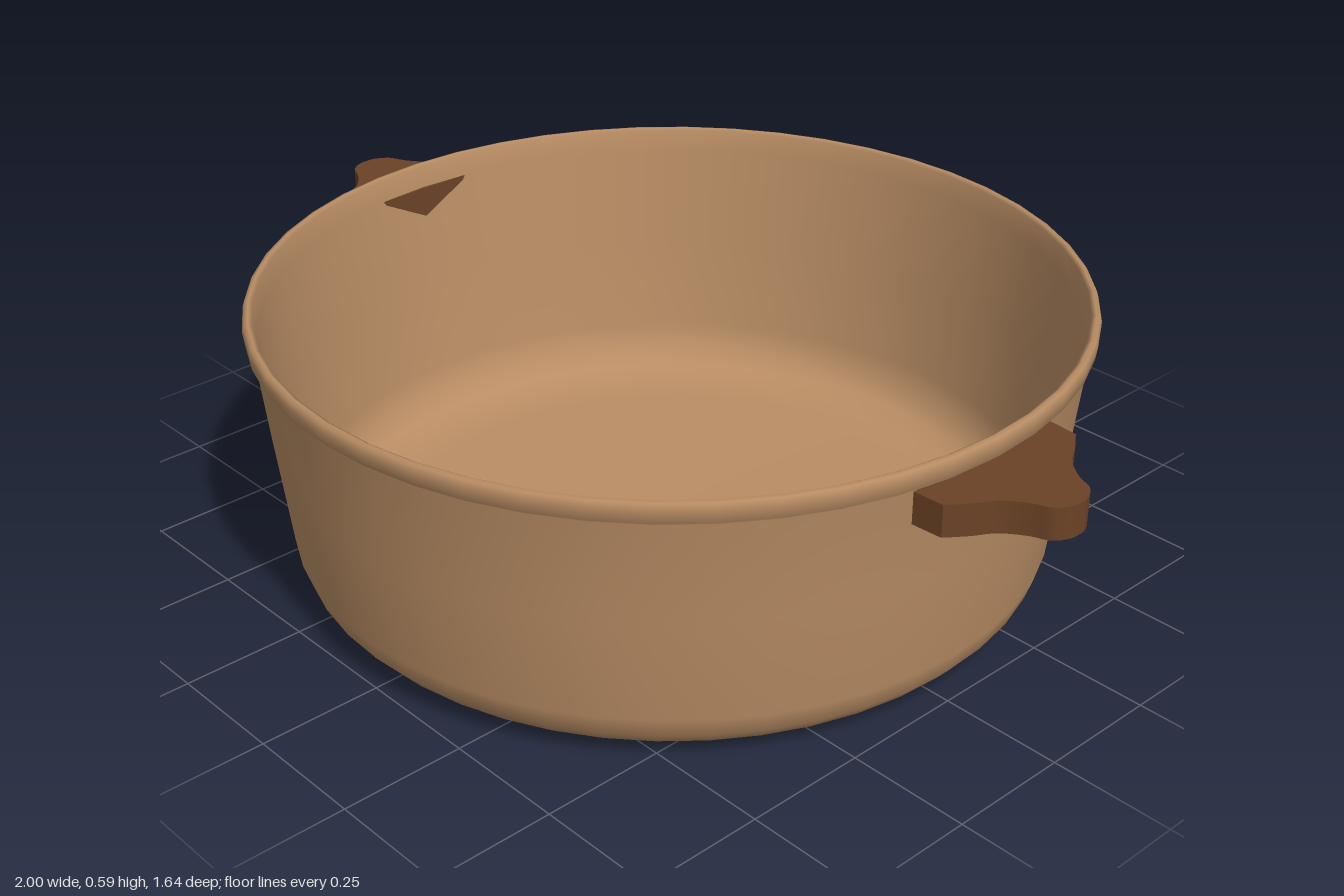
import * as THREE from 'three';
import { toCreasedNormals, mergeVertices } from 'three/addons/utils/BufferGeometryUtils.js';

const clay = new THREE.MeshStandardMaterial({ name: 'clay tan', color: 0xb98d64 });
const wood = new THREE.MeshStandardMaterial({ name: 'dark brown', color: 0x6b4226 });

const v2 = (p) => new THREE.Vector2(p[0], p[1]);

// Closed pot wall: underside, rounded heel, flared wall, rim band, then back down inside
function makePot() {
  const profile = [
    [0, 0], [0.4, 0.003], [0.62, 0.009], [0.68, 0.018], [0.72, 0.036], [0.745, 0.065], [0.76, 0.11],
    [0.785, 0.33], [0.807, 0.54], [0.819, 0.55], [0.822, 0.575], [0.818, 0.588], [0.81, 0.59],
    [0.802, 0.585], [0.796, 0.54], [0.77, 0.33], [0.745, 0.13], [0.73, 0.08], [0.7, 0.045],
    [0.65, 0.028], [0.58, 0.022], [0, 0.02],
  ].map(v2);
  const pot = new THREE.Mesh(new THREE.LatheGeometry(profile, 48), clay);
  pot.name = 'pot';
  return pot;
}

// Flared lug outline, drawn in x and z and mirrored about z = 0
function lugPoints(inset) {
  const side = [
    [0.85 - inset * 0.5, 0.175 - inset * 1.6], [0.88, 0.135 - inset * 1.4], [0.905, 0.095 - inset],
    [0.945, 0.064 - inset], [0.98, 0.048 - inset], [0.998 - inset, 0.02], [1 - inset, 0],
  ];
  const all = [...side, ...side.slice(0, -1).reverse().map(([x, z]) => [x, -z])].map(v2);
  const curve = new THREE.SplineCurve(all).getPoints(40);
  const base = inset ? 0.832 : 0.788;
  const half = inset ? 0.15 : 0.179;
  return [v2([base, half]), ...curve, v2([base, -half])];
}

function extrudeLug(shape, bottom, height) {
  const geometry = new THREE.ExtrudeGeometry(shape, { depth: height, bevelEnabled: false });
  geometry.rotateX(-Math.PI / 2).translate(0, bottom, 0);
  return toCreasedNormals(geometry, 0.6);
}

// Handle with a solid top and a shallow hollow underneath
function makeHandle(name, angle) {
  const handle = new THREE.Group();
  handle.name = name;
  const top = new THREE.Mesh(extrudeLug(new THREE.Shape(lugPoints(0)), 0.505, 0.035), wood);
  top.name = 'handleTop';
  const ring = new THREE.Shape(lugPoints(0));
  ring.holes.push(new THREE.Path(lugPoints(0.012)));
  const skirt = new THREE.Mesh(extrudeLug(ring, 0.476, 0.029), wood);
  skirt.name = 'handleSkirt';
  handle.add(top, skirt);
  handle.rotation.y = angle;
  return handle;
}

export function createModel() {
  const model = new THREE.Group();
  model.name = 'casserolePot';
  model.add(makePot(), makeHandle('leftHandle', 0), makeHandle('rightHandle', Math.PI));
  return model;
}
